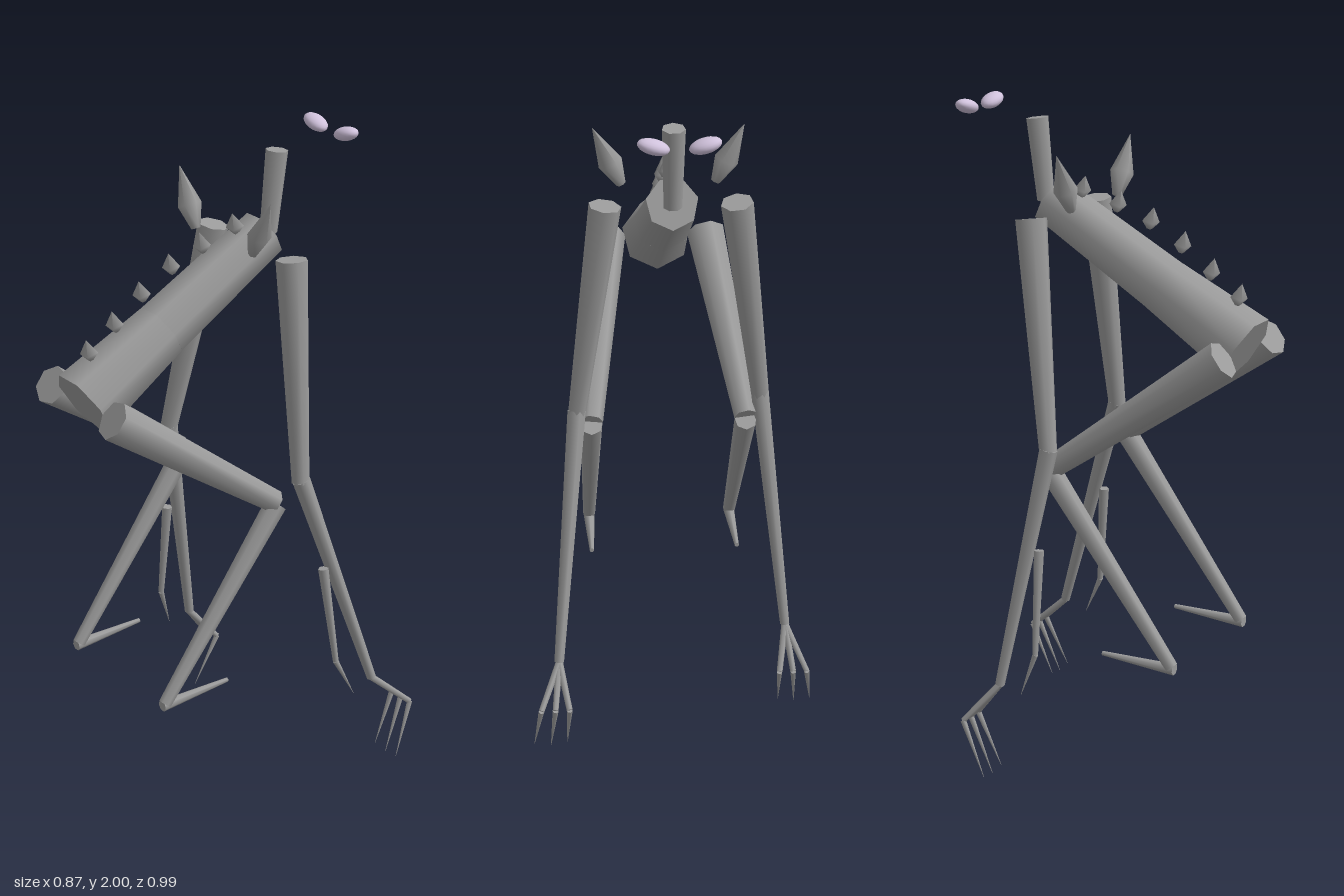
import * as THREE from 'three';

const hide = new THREE.MeshStandardMaterial({ color: 0x9c9c9c });
hide.name = 'greyHide';
const iris = new THREE.MeshStandardMaterial({ color: 0xd0c2dc });
iris.name = 'lilacEye';

const UP = new THREE.Vector3(0, 1, 0);

export function createModel() {
  const root = new THREE.Group();
  root.name = 'gauntCreature';

  // Stands a y-aligned geometry on the line from a to b
  function place(name, geometry, a, b, centred) {
    const from = new THREE.Vector3(...a), to = new THREE.Vector3(...b);
    const mesh = new THREE.Mesh(geometry, hide);
    mesh.name = name;
    mesh.quaternion.setFromUnitVectors(UP, to.clone().sub(from).normalize());
    mesh.position.copy(centred ? from.add(to).multiplyScalar(0.5) : from);
    root.add(mesh);
    return mesh;
  }

  // Tapered limb from a (radius ra) to b (radius rb)
  function limb(name, a, b, ra, rb, sides = 7) {
    const length = new THREE.Vector3(...a).distanceTo(new THREE.Vector3(...b));
    return place(name, new THREE.CylinderGeometry(rb, ra, length, sides), a, b, true);
  }

  // Pointed bud: narrow base, widest part way up, sharp tip
  function spike(name, a, b, radius, sides, baseRadius, belly) {
    const h = new THREE.Vector3(...a).distanceTo(new THREE.Vector3(...b));
    const profile = [[0, 0], [baseRadius, 0.001], [radius, h * belly], [0, h]]
      .map(([r, y]) => new THREE.Vector2(r, y));
    const geometry = new THREE.LatheGeometry(profile, sides, Math.PI / sides);
    return place(name, geometry, a, b, false);
  }

  // Torso, narrow at the shoulders and wide at the hips
  const chest = [0, 1.705, -0.205], waist = [0, 1.488, 0.17], rump = [0, 1.33, 0.445];
  limb('torsoFront', chest, waist, 0.076, 0.087);
  limb('torsoRear', waist, rump, 0.087, 0.108);

  // Neck
  limb('neck', [0, 1.705, -0.225], [0, 1.95, -0.253], 0.027, 0.034);

  // Row of back spikes
  const spine = [[0.42, 1.49], [0.33, 1.555], [0.235, 1.625], [0.13, 1.685], [0.02, 1.725], [-0.1, 1.757]];
  for (const [z, y] of spine) {
    spike('backSpike', [0, y - 0.033, z - 0.005], [0, y + 0.033, z + 0.01], 0.027, 4, 0.008, 0.35);
  }

  for (const s of [1, -1]) {
    const side = s > 0 ? 'left' : 'right';

    // Floating eye
    const eye = new THREE.Mesh(new THREE.SphereGeometry(1, 16, 10), iris);
    eye.name = side + 'Eye';
    eye.scale.set(0.046, 0.021, 0.03);
    eye.position.set(s * 0.07, 1.977, -0.455);
    eye.rotation.z = s * 0.27;
    root.add(eye);

    // Shoulder spike
    spike(side + 'ShoulderSpike', [s * 0.135, 1.71, -0.06], [s * 0.217, 1.885, -0.06], 0.036, 6, 0.014, 0.38);

    // Folded hind leg
    const hip = [s * 0.155, 1.335, 0.45], knee = [s * 0.232, 0.955, -0.075];
    const ankle = [s * 0.228, 0.4, 0.33];
    limb(side + 'Thigh', hip, knee, 0.059, 0.035);
    limb(side + 'Shin', [knee[0], 0.945, -0.08], ankle, 0.034, 0.02);
    limb(side + 'Foot', [ankle[0], 0.395, 0.34], [s * 0.23, 0.401, 0.098], 0.018, 0.007);

    // Long arm; each swings to a different point of the stride
    const pose = s > 0
      ? { elbow: -0.138, wrist: [0.3, -0.375], knuckle: [0.2, -0.487], tip: [0.035, -0.417],
          spur: [-0.205, -0.237, -0.3] }
      : { elbow: -0.058, wrist: [0.285, -0.19], knuckle: [0.17, -0.285], tip: [0.012, -0.2],
          spur: [-0.073, -0.07, -0.112] };
    const elbow = [s * 0.277, 1.015, pose.elbow];
    const wrist = [s * 0.352, ...pose.wrist];
    limb(side + 'UpperArm', [s * 0.188, 1.687, -0.163], elbow, 0.048, 0.027);
    limb(side + 'Forearm', [elbow[0], 1.025, pose.elbow], wrist, 0.028, 0.015);

    // Spur along the forearm
    const bend = [s * 0.342, 0.4, pose.spur[1]];
    limb(side + 'Spur', [s * 0.31, 0.72, pose.spur[0]], bend, 0.016, 0.009, 6);
    limb(side + 'SpurTip', bend, [s * 0.357, 0.27, pose.spur[2]], 0.009, 0.0005, 6);

    // Three clawed fingers
    for (let i = 0; i < 3; i++) {
      const knuckle = [s * (0.327 + i * 0.042), ...pose.knuckle];
      const tip = [s * (0.334 + i * 0.05), pose.tip[0] + (i === 1 ? -0.008 : 0), pose.tip[1]];
      limb(side + 'Finger', wrist, knuckle, 0.011, 0.009, 6);
      limb(side + 'Claw', knuckle, tip, 0.009, 0.0005, 6);
    }
  }

  return root;
}
